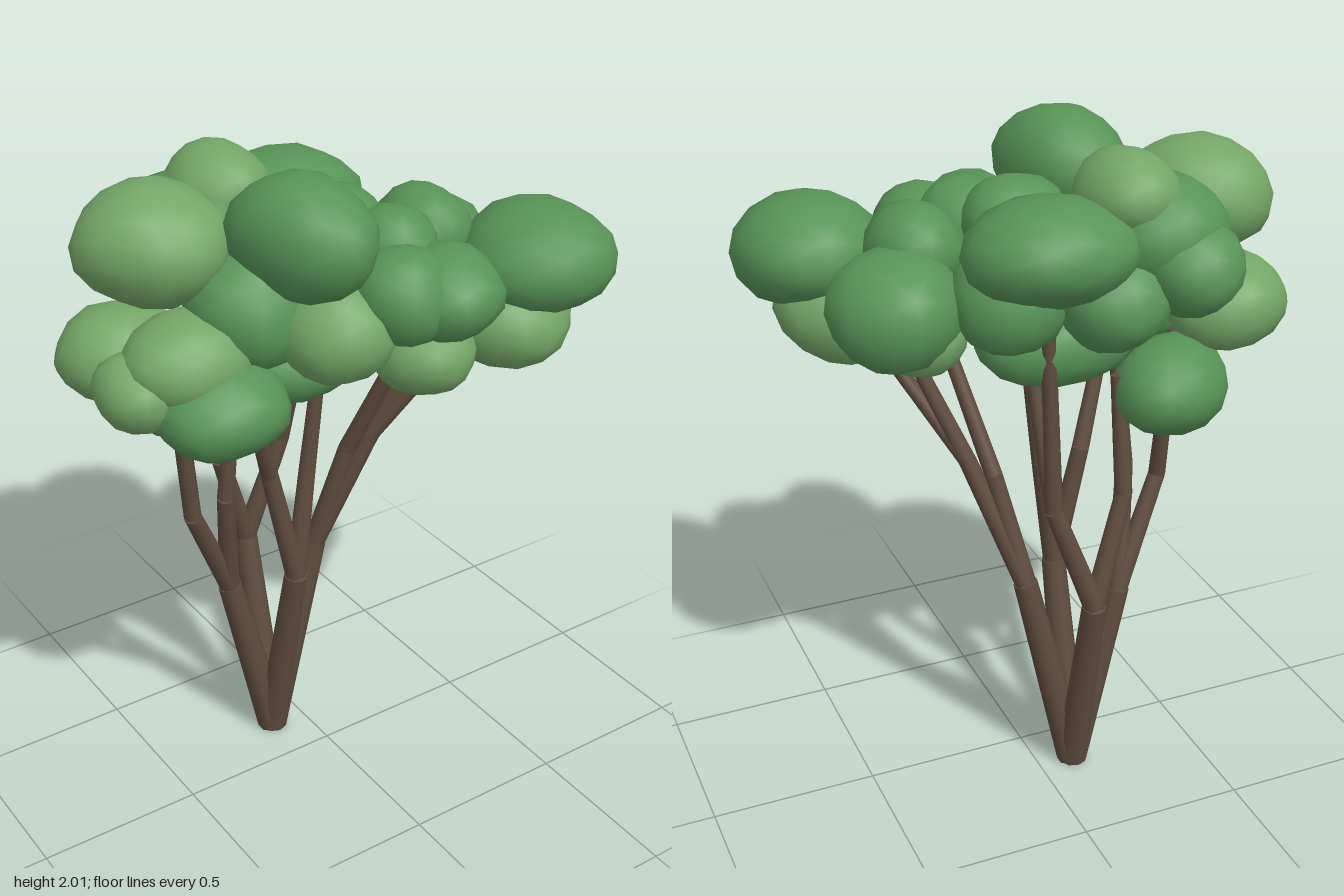
import * as THREE from 'three';
import { mergeVertices } from 'three/addons/utils/BufferGeometryUtils.js';

const bark = new THREE.MeshStandardMaterial({ color: 0x5f4c3e });
const darkLeaf = new THREE.MeshStandardMaterial({ color: 0x589458 });
const lightLeaf = new THREE.MeshStandardMaterial({ color: 0x75a768 });

// tapered round limb between two points
function limb(name, a, b, r0, r1) {
  const p = new THREE.Vector3(...a), q = new THREE.Vector3(...b);
  const dir = q.clone().sub(p);
  const mesh = new THREE.Mesh(new THREE.CylinderGeometry(r1, r0, dir.length(), 10), bark);
  mesh.position.copy(p).add(q).multiplyScalar(0.5);
  mesh.quaternion.setFromUnitVectors(new THREE.Vector3(0, 1, 0), dir.normalize());
  mesh.name = name;
  return mesh;
}

// lumpy, smooth leaf clump with an uneven outline
function clump([centre, radii, turn = 0], material, seed) {
  let g = new THREE.IcosahedronGeometry(1, 2);
  g.deleteAttribute('normal');
  g.deleteAttribute('uv');
  g = mergeVertices(g, 1e-3);
  const pos = g.attributes.position, v = new THREE.Vector3();
  for (let i = 0; i < pos.count; i++) {
    v.fromBufferAttribute(pos, i);
    const k = 1.015 + 0.025 * Math.sin(4 * v.x + 2 * v.y + seed * 1.7) + 0.025 * Math.sin(5 * v.z - 3 * v.y + seed * 2.3);
    pos.setXYZ(i, v.x * k * radii[0], v.y * k * radii[1], v.z * k * radii[2]);
  }
  g.computeVertexNormals();
  const mesh = new THREE.Mesh(g, material);
  mesh.position.set(...centre);
  mesh.rotation.y = turn;
  mesh.name = 'leafClump';
  return mesh;
}

export function createModel() {
  const tree = new THREE.Group();
  tree.name = 'tree';

  // four stems spread from one foot; each carries jointed branches
  const foot = [-0.11, 0, -0.155];
  const stems = [
    { node: [-0.25, 0.59, -0.16], branches: [
      [[-0.4, 0.92, -0.1], [-0.46, 1.36, -0.06]],
      [[-0.4, 0.92, -0.1], [-0.39, 1.22, -0.16]],
      [[-0.3, 0.96, -0.08], [-0.27, 1.35, -0.06]] ] },
    { node: [-0.1, 0.65, -0.02], branches: [
      [[-0.18, 1.02, -0.03], [-0.29, 1.35, 0.05]],
      [[-0.05, 1.0, -0.03], [-0.01, 1.36, -0.02]] ] },
    { node: [0.04, 0.66, -0.13], branches: [
      [[0.18, 1.05, -0.03], [0.37, 1.37, 0.12]],
      [[0.18, 1.05, -0.03], [0.31, 1.37, 0.05]],
      [[0.11, 1.0, -0.06], [0.2, 1.4, 0.1]] ] },
    { node: [-0.105, 0.64, -0.3], branches: [
      [[0.015, 0.97, -0.275], [0.04, 1.56, -0.28]],
      [[0.015, 0.97, -0.275], [0.04, 1.35, -0.18]],
      [[-0.21, 0.97, -0.26], [-0.2, 1.33, -0.22]] ] },
  ];
  const wood = new THREE.Group();
  wood.name = 'trunkAndBranches';
  for (const { node, branches } of stems) {
    wood.add(limb('stem', foot, node, 0.048, 0.036));
    for (const [joint, tip] of branches) {
      wood.add(limb('branch', node, joint, 0.032, 0.026));
      wood.add(limb('twig', joint, tip, 0.026, 0.02));
    }
  }
  tree.add(wood);

  // leaf clumps: centre, radii, optional turn about y
  const dark = [
    [[0.525, 1.645, 0.265], [0.218, 0.153, 0.222]],
    [[0.4, 1.575, -0.09], [0.19, 0.163, 0.2]],
    [[-0.185, 1.83, 0.155], [0.155, 0.168, 0.222], 0.35],
    [[0.02, 1.745, -0.265], [0.24, 0.142, 0.195]],
    [[0.12, 1.6, -0.19], [0.16, 0.15, 0.18]],
    [[-0.35, 1.67, -0.35], [0.14, 0.13, 0.14]],
    [[-0.3, 1.74, -0.22], [0.2, 0.17, 0.21]],
    [[-0.43, 1.4, 0.14], [0.185, 0.13, 0.17]],
    [[-0.36, 1.278, -0.23], [0.16, 0.14, 0.19], -0.785],
    [[0.04, 1.66, 0.29], [0.14, 0.135, 0.14]],
    [[0.17, 1.645, 0.305], [0.145, 0.125, 0.175]],
    [[0.3, 1.69, 0.03], [0.135, 0.13, 0.15]],
    [[0.12, 1.71, 0.13], [0.13, 0.13, 0.14]],
    [[0.02, 1.74, 0.0], [0.15, 0.13, 0.15]],
    [[-0.1, 1.405, -0.03], [0.23, 0.13, 0.19]],
    [[-0.05, 1.445, -0.12], [0.24, 0.14, 0.19]],
    [[-0.15, 1.59, -0.29], [0.16, 0.14, 0.15]],
    [[-0.28, 1.62, 0.05], [0.18, 0.17, 0.18]],
  ];
  const light = [
    [[0.44, 1.485, 0.21], [0.205, 0.155, 0.22]],
    [[-0.48, 1.79, -0.11], [0.185, 0.162, 0.215], 0.785],
    [[-0.215, 1.855, -0.215], [0.14, 0.12, 0.16]],
    [[-0.56, 1.475, -0.16], [0.185, 0.135, 0.17]],
    [[-0.61, 1.455, 0.03], [0.125, 0.11, 0.13]],
    [[-0.48, 1.52, 0.06], [0.18, 0.13, 0.16]],
    [[-0.12, 1.575, 0.21], [0.155, 0.145, 0.17]],
    [[0.14, 1.455, 0.25], [0.145, 0.12, 0.16]],
    [[0.34, 1.5, -0.11], [0.13, 0.11, 0.13]],
  ];
  const crown = new THREE.Group();
  crown.name = 'crown';
  dark.forEach((spec, i) => crown.add(clump(spec, darkLeaf, i)));
  light.forEach((spec, i) => crown.add(clump(spec, lightLeaf, i + 20)));
  tree.add(crown);

  return tree;
}
